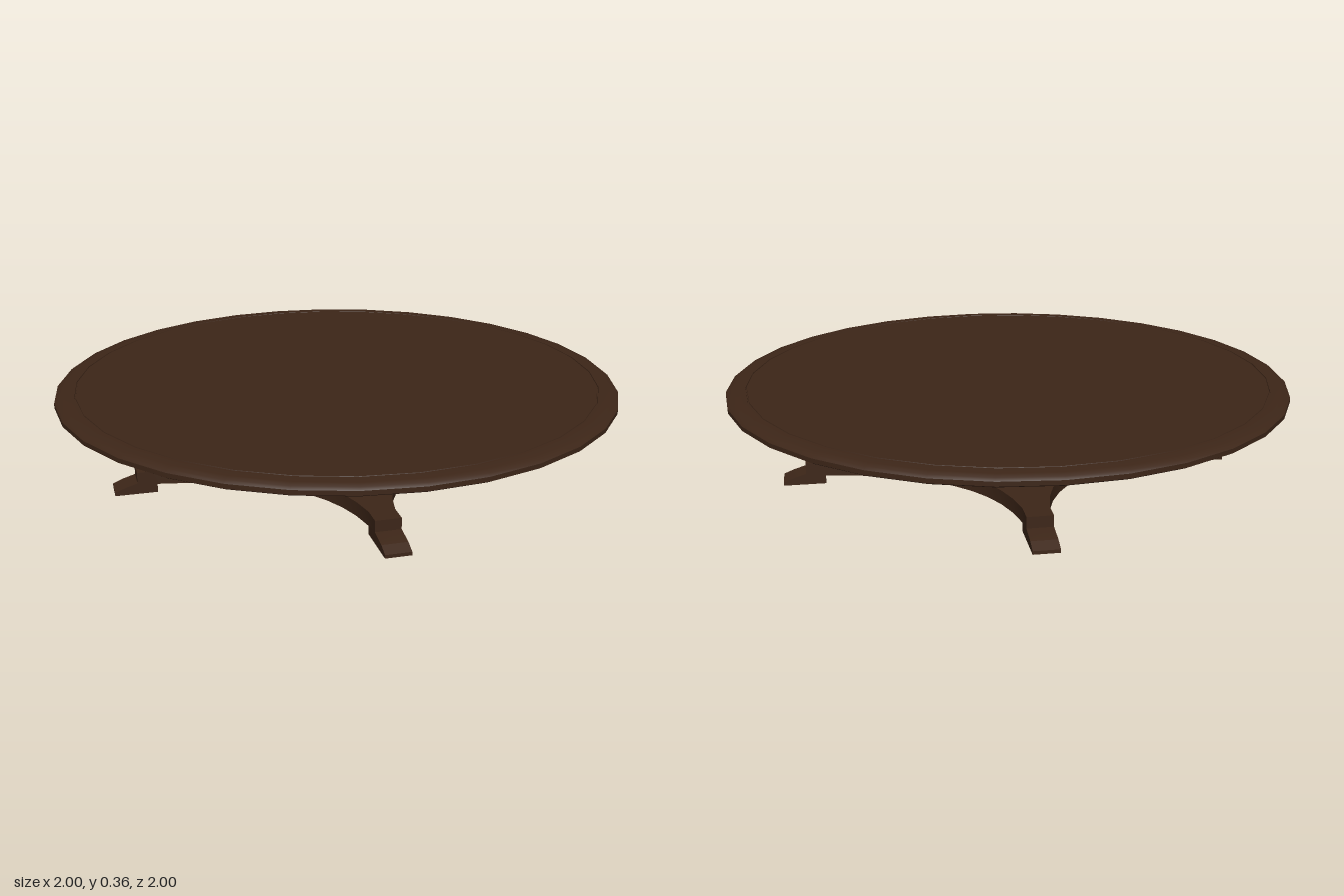
import * as THREE from 'three';
import { toCreasedNormals } from 'three/addons/utils/BufferGeometryUtils.js';

const wood = new THREE.MeshStandardMaterial({ color: 0x3d2618 });

function addPart(group, name, geometry, crease = 0.5) {
  const mesh = new THREE.Mesh(toCreasedNormals(geometry, crease), wood);
  mesh.name = name;
  group.add(mesh);
  return mesh;
}

// Turned part from [radius, height] pairs, listed bottom to top
const turned = (profile, segments) =>
  new THREE.LatheGeometry(profile.map(([r, y]) => new THREE.Vector2(r, y)), segments);

// Star-shaped base plate: four blunt arms joined by concave curves
function basePlate() {
  const w = 0.045, armX = 0.74, armZ = 0.64, rootX = 0.66, rootZ = 0.57;
  const curve = new THREE.QuadraticBezierCurve(
    new THREE.Vector2(rootX, w), new THREE.Vector2(0.105, 0.13), new THREE.Vector2(w, rootZ));
  const quarter = [new THREE.Vector2(armX, w), ...curve.getPoints(10), new THREE.Vector2(w, armZ)];
  const outline = [];
  for (const [sx, sz] of [[1, 1], [-1, 1], [-1, -1], [1, -1]]) {
    const points = quarter.map(p => new THREE.Vector2(p.x * sx, p.y * sz));
    outline.push(...(sx * sz > 0 ? points : points.reverse()));
  }
  const geometry = new THREE.ExtrudeGeometry(new THREE.Shape(outline), { depth: 0.05, bevelEnabled: false });
  return geometry.rotateX(-Math.PI / 2).translate(0, 0.03, 0);
}

// Foot with a sloping toe, running outwards along x
function footGeometry(inner, block, tip) {
  const shape = new THREE.Shape([
    [inner, 0], [tip, 0], [tip, 0.012], [tip - 0.04, 0.028],
    [block, 0.04], [block - 0.01, 0.04], [inner, 0.035],
  ].map(([x, y]) => new THREE.Vector2(x, y)));
  return new THREE.ExtrudeGeometry(shape, { depth: 0.09, bevelEnabled: false }).translate(0, 0, -0.045);
}

export function createModel() {
  const table = new THREE.Group();
  table.name = 'roundPedestalTable';

  // Top with a rounded rim and a fine groove inside the border
  addPart(table, 'tableTop', turned([
    [0, 0.325], [0.99, 0.325], [1, 0.331], [1, 0.346], [0.99, 0.354], [0.97, 0.359],
    [0.932, 0.36], [0.931, 0.357], [0.928, 0.357], [0.927, 0.36], [0, 0.36],
  ], 32));

  // Column with a flared collar at each end
  addPart(table, 'column', new THREE.CylinderGeometry(0.043, 0.043, 0.25, 24).translate(0, 0.2, 0));
  addPart(table, 'upperCollar', turned([
    [0, 0.311], [0.07, 0.311], [0.085, 0.317], [0.135, 0.319], [0.14, 0.326], [0, 0.326],
  ], 24));
  addPart(table, 'lowerCollar', turned([
    [0, 0.078], [0.14, 0.078], [0.135, 0.083], [0.08, 0.085], [0.065, 0.089], [0, 0.089],
  ], 24));

  addPart(table, 'basePlate', basePlate());

  // Four feet, those along x reaching further out
  for (let i = 0; i < 4; i++) {
    const geometry = i % 2 ? footGeometry(0.57, 0.64, 0.75) : footGeometry(0.67, 0.74, 0.82);
    addPart(table, 'foot', geometry, 0.2).rotation.y = i * Math.PI / 2;
  }
  return table;
}
